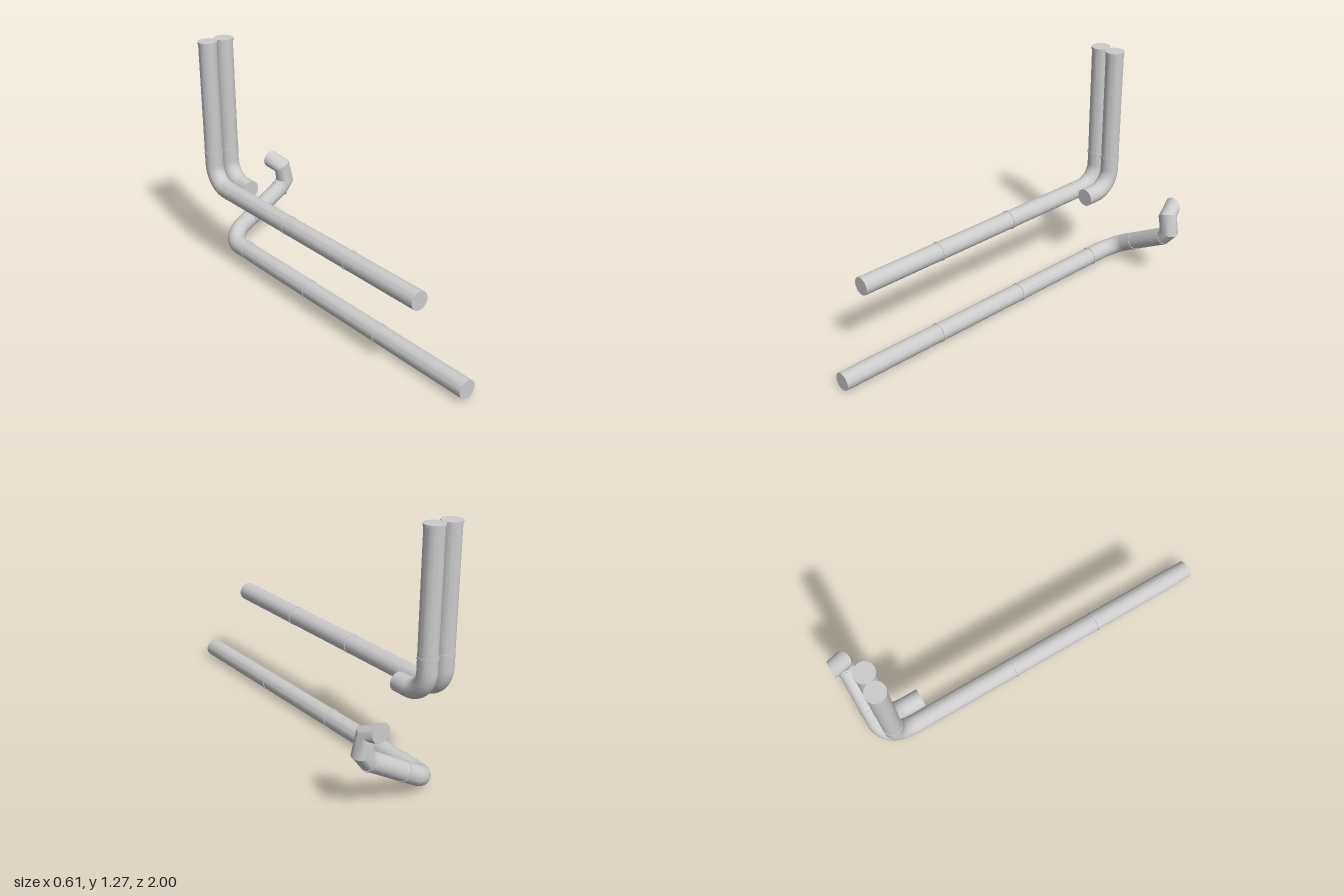
import * as THREE from 'three';
import { toCreasedNormals } from 'three/addons/utils/BufferGeometryUtils.js';

const SIDES = 32;
const R = 0.0485;
const V = (x, y, z) => new THREE.Vector3(x, y, z);
const material = new THREE.MeshStandardMaterial({ color: 0xcccccc });

// Skin a closed tube through circular rings { p: centre, n: normal, r: radius }
function sweep(name, rings) {
  const pos = [], idx = [];
  const u = V(0, 1, 0).cross(rings[0].n);
  if (u.lengthSq() < 0.01) u.set(1, 0, 0);
  u.normalize();
  const turn = new THREE.Quaternion();
  rings.forEach(({ p, n, r = R }, i) => {
    if (i) u.applyQuaternion(turn.setFromUnitVectors(rings[i - 1].n, n));
    const v = n.clone().cross(u);
    for (let k = 0; k < SIDES; k++) {
      const a = (k / SIDES) * Math.PI * 2;
      const q = p.clone().addScaledVector(u, r * Math.cos(a)).addScaledVector(v, r * Math.sin(a));
      pos.push(q.x, q.y, q.z);
      if (!i) continue;
      const b = i * SIDES + k, b2 = i * SIDES + (k + 1) % SIDES;
      idx.push(b - SIDES, b2 - SIDES, b2, b - SIDES, b2, b);
    }
  });
  // End caps
  const last = rings.length - 1, c = rings.length * SIDES;
  pos.push(...rings[0].p.toArray(), ...rings[last].p.toArray());
  for (let k = 0; k < SIDES; k++) {
    const k2 = (k + 1) % SIDES;
    idx.push(c, k2, k, c + 1, last * SIDES + k, last * SIDES + k2);
  }
  const geo = new THREE.BufferGeometry();
  geo.setAttribute('position', new THREE.Float32BufferAttribute(pos, 3));
  geo.setIndex(idx);
  const mesh = new THREE.Mesh(toCreasedNormals(geo, 0.5), material);
  mesh.name = name;
  return mesh;
}

// Straight pipe from a to b, with thin collars centred at the given distances from a
function pipe(name, a, b, collars = []) {
  const g = new THREE.Group();
  g.name = name;
  const n = b.clone().sub(a).normalize();
  const at = (d) => a.clone().addScaledVector(n, d);
  g.add(sweep(name + 'Body', [{ p: a, n }, { p: b, n }]));
  for (const d of collars) {
    g.add(sweep('collar', [{ p: at(d - 0.006), n, r: 0.0515 }, { p: at(d + 0.006), n, r: 0.0515 }]));
  }
  return g;
}

// Right-angled elbow: a curved bend between two straight sleeves
const BEND = 0.12, REACH = 0.195;
function elbow(name, corner, din, dout) {
  const at = (a, b) => corner.clone().addScaledVector(din, a).addScaledVector(dout, b);
  const rings = [{ p: at(-REACH, 0), n: din, r: 0.049 }];
  for (let i = 0; i <= 16; i++) {
    const t = (i / 16) * Math.PI / 2, s = Math.sin(t), c = Math.cos(t);
    rings.push({
      p: at(BEND * (s - 1), BEND * (1 - c)),
      n: din.clone().multiplyScalar(c).addScaledVector(dout, s).normalize(),
      r: 0.049,
    });
  }
  rings.push({ p: at(0, REACH), n: dout, r: 0.049 });
  return sweep(name, rings);
}

export function createModel() {
  const group = new THREE.Group();
  const back = V(0, 0, -1), up = V(0, 1, 0);

  // Two upright pipes, each rising from an elbow
  for (const [side, x] of [['right', -0.258], ['left', -0.157]]) {
    const corner = V(x, 0.455, -0.87);
    group.add(elbow(side + 'UpperElbow', corner, back, up));
    group.add(pipe(side + 'UprightPipe', V(x, 0.64, -0.87), V(x, 1.27, -0.87), [0.006, 0.624]));
  }

  // Upper horizontal pipe, joined from three lengths
  group.add(pipe('upperRunPipe', V(-0.258, 0.455, 0.78), V(-0.258, 0.455, -0.68), [0.486, 0.972]));

  // Lower horizontal pipe
  group.add(pipe('lowerRunPipe', V(-0.155, 0.052, 1), V(-0.155, 0.052, -0.735), [0.605, 1.168, 1.729]));

  // Slanting branch at the back
  const slope = V(Math.cos(Math.PI / 6), 0.5, 0);
  const corner = V(-0.155, 0.052, -0.928);
  const along = (d) => corner.clone().addScaledVector(slope, d);
  group.add(elbow('lowerElbow', corner, back, slope));
  group.add(pipe('slantingPipe', along(0.185), along(0.436), [0.006, 0.245]));

  // Coarse segmented outlet that turns up and then backwards
  group.add(sweep('outletElbow', [
    { p: along(0.43), n: slope },
    { p: V(0.255, 0.311, -0.928), n: V(0.17, 0.98, 0).normalize(), r: 0.051 },
    { p: V(0.238, 0.402, -0.928), n: V(-0.4, 0.8, -0.43).normalize(), r: 0.05 },
    { p: V(0.212, 0.43, -1), n: back, r: 0.049 },
  ]));
  return group;
}
